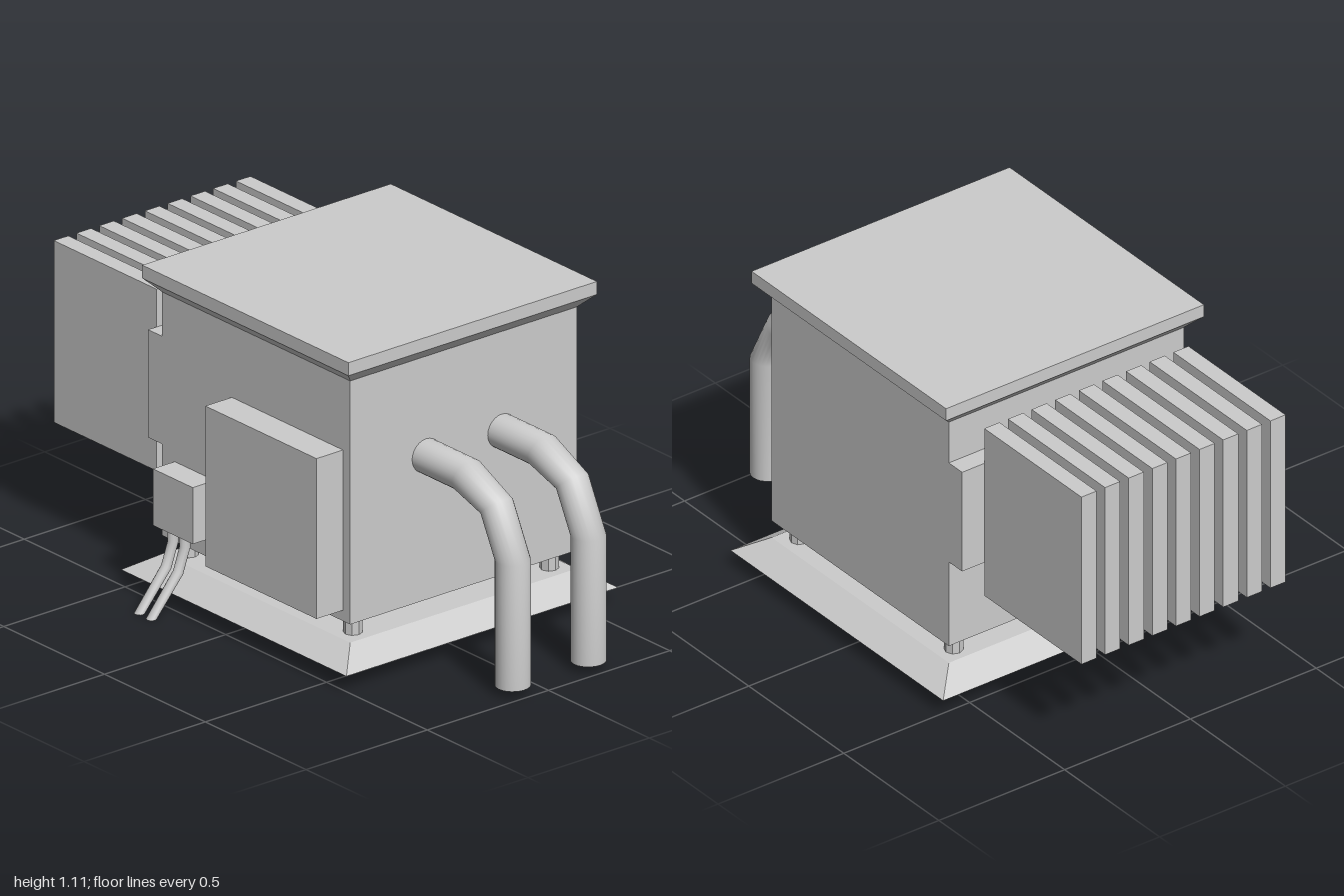
import * as THREE from 'three';

const grey = new THREE.MeshStandardMaterial({ color: 0xcccccc });
const greyOpen = new THREE.MeshStandardMaterial({ color: 0xcccccc, side: THREE.DoubleSide });

function addMesh(group, name, geometry, material = grey) {
  const mesh = new THREE.Mesh(geometry, material);
  mesh.name = name;
  group.add(mesh);
  return mesh;
}

// Box given by its limits on each axis
function addBox(group, name, [x0, x1], [y0, y1], [z0, z1]) {
  const geometry = new THREE.BoxGeometry(x1 - x0, y1 - y0, z1 - z0);
  geometry.translate((x0 + x1) / 2, (y0 + y1) / 2, (z0 + z1) / 2);
  return addMesh(group, name, geometry);
}

// Box whose top or bottom face is widened by a margin on every side
function addFlaredBox(group, name, x, y, z, marginBottom, marginTop) {
  const mesh = addBox(group, name, x, y, z);
  const pos = mesh.geometry.attributes.position;
  const cx = (x[0] + x[1]) / 2, cy = (y[0] + y[1]) / 2, cz = (z[0] + z[1]) / 2;
  for (let i = 0; i < pos.count; i++) {
    const m = pos.getY(i) > cy ? marginTop : marginBottom;
    pos.setX(i, pos.getX(i) + m * Math.sign(pos.getX(i) - cx));
    pos.setZ(i, pos.getZ(i) + m * Math.sign(pos.getZ(i) - cz));
  }
  mesh.geometry.computeVertexNormals();
  return mesh;
}

// Open mitred pipe in the xy plane; each ring is [outerX, outerY, innerX, innerY]
function pipeGeometry(rings, radius, sides) {
  const positions = [], index = [];
  rings.forEach(([ox, oy, ix, iy], r) => {
    for (let s = 0; s < sides; s++) {
      const a = (s / sides) * Math.PI * 2, c = Math.cos(a) / 2;
      positions.push((ox + ix) / 2 + (ox - ix) * c, (oy + iy) / 2 + (oy - iy) * c, radius * Math.sin(a));
      if (r === 0) continue;
      const a0 = (r - 1) * sides + s, a1 = (r - 1) * sides + (s + 1) % sides;
      index.push(a0, a0 + sides, a1, a1, a0 + sides, a1 + sides);
    }
  });
  const geometry = new THREE.BufferGeometry();
  geometry.setAttribute('position', new THREE.Float32BufferAttribute(positions, 3));
  geometry.setIndex(index);
  geometry.computeVertexNormals();
  return geometry;
}

export function createModel() {
  const model = new THREE.Group();
  model.name = 'transformer';
  const X = [-0.42, 0.513], Z = [-0.522, 0.413];

  // Tank, flared lid and sloping plinth
  addBox(model, 'tank', X, [0.18, 1.02], Z);
  addFlaredBox(model, 'lidFlare', X, [1.02, 1.065], Z, 0, 0.045);
  addBox(model, 'lid', [X[0] - 0.045, X[1] + 0.045], [1.065, 1.11], [Z[0] - 0.045, Z[1] + 0.045]);
  addFlaredBox(model, 'plinth', X, [0.057, 0.117], Z, 0.093, 0);

  // Feet
  for (const x of [-0.363, 0.45]) {
    for (const z of [-0.46, 0.35]) {
      const geometry = new THREE.CylinderGeometry(0.031, 0.031, 0.063, 8).toNonIndexed();
      geometry.computeVertexNormals();
      addMesh(model, 'foot', geometry).position.set(x, 0.1485, z);
    }
  }

  // Radiator header and cooling fins
  addBox(model, 'radiatorHeader', [-0.49, X[0]], [0.495, 0.867], Z);
  for (let i = 0; i < 9; i++) {
    const z = -0.403 + i * 0.0939;
    addBox(model, 'coolingFin', [-1, -0.489], [0.37, 0.997], [z - 0.03, z + 0.03]);
  }

  // Cabinet and junction box on the front
  addBox(model, 'cabinet', [-0.075, 0.477], [0.217, 0.77], [Z[1], 0.522]);
  addBox(model, 'junctionBox', [-0.358, -0.16], [0.26, 0.455], [Z[1], 0.503]);

  // Large bent pipes on the side
  const pipe = pipeGeometry([
    [0.5, 0.735, 0.5, 0.62],
    [0.737, 0.735, 0.69, 0.62],
    [0.904, 0.653, 0.823, 0.583],
    [1, 0.46, 0.886, 0.46],
    [1, 0.028, 0.886, 0.028],
  ], 0.058, 24);
  for (const z of [0.1, -0.212]) addMesh(model, 'sidePipe', pipe, greyOpen).position.z = z;

  // Thin cables below the junction box, bending forwards to the ground
  const cable = pipeGeometry([
    [0.48, 0.265, 0.444, 0.265],
    [0.479, 0.213, 0.443, 0.21],
    [0.505, 0.138, 0.474, 0.122],
    [0.617, 0, 0.583, 0],
  ].map(([oz, oy, iz, iy]) => [oz, oy, iz, iy]), 0.018, 12);
  cable.rotateY(-Math.PI / 2);
  for (const x of [-0.308, -0.249]) addMesh(model, 'cable', cable, greyOpen).position.x = x;

  return model;
}
